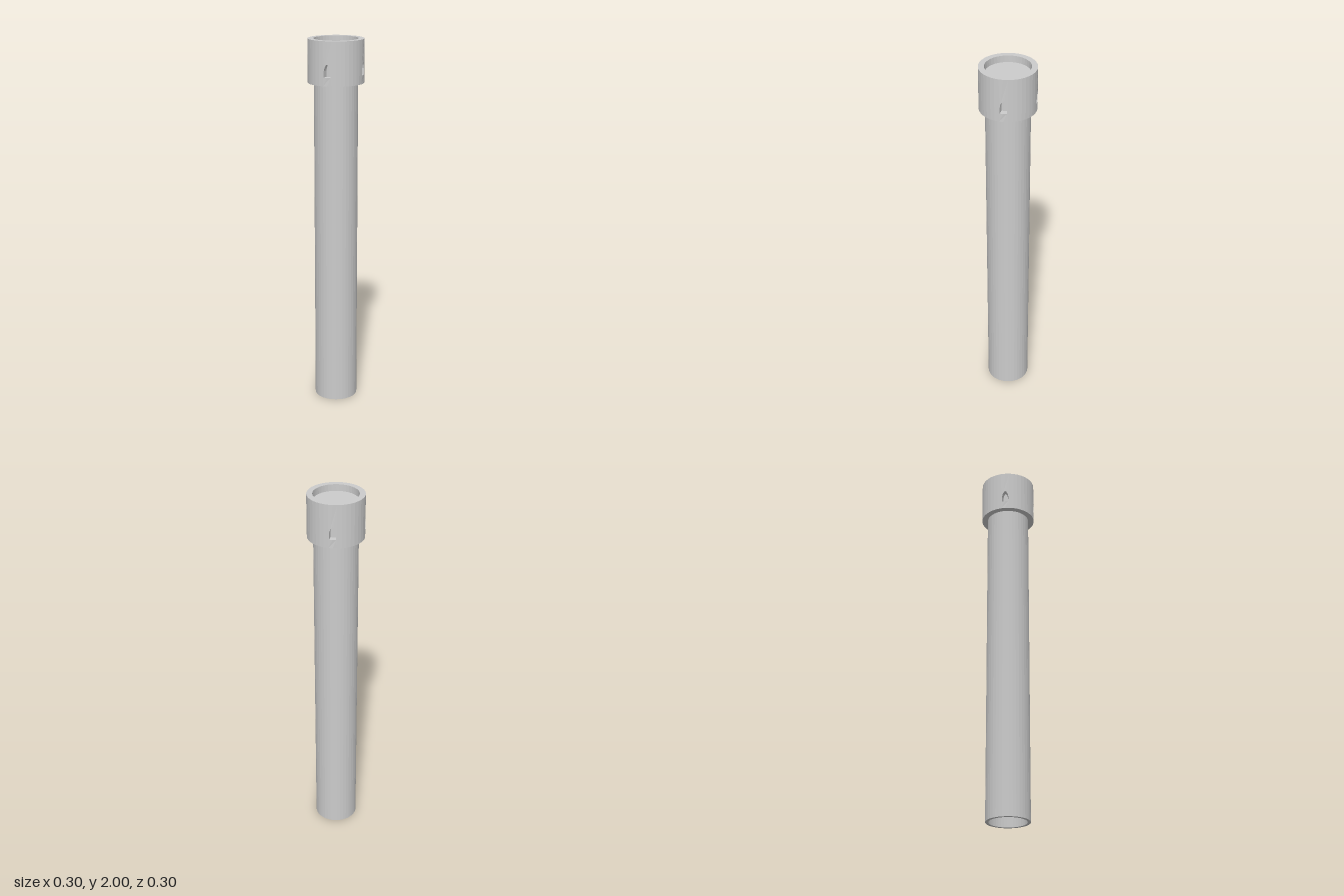
import * as THREE from 'three';

const SIDES = 40;
const STEP = (Math.PI * 2) / SIDES;
const material = new THREE.MeshStandardMaterial({ color: 0xcccccc, flatShading: true });

// Collar dimensions
const BOTTOM = 1.77, TOP = 2, OUTER = 0.148, INNER = 0.116, LIP = 0.118;

function lathe(name, profile, segments = SIDES, start = Math.PI / 4, length = Math.PI * 2) {
  const points = profile.map(([r, y]) => new THREE.Vector2(r, y));
  const mesh = new THREE.Mesh(new THREE.LatheGeometry(points, segments, start, length), material);
  mesh.name = name;
  return mesh;
}

// Collar panel two facets wide with an arched window, bent around the axis
function windowPanel(angle) {
  const half = STEP * OUTER;
  const shape = new THREE.Shape([
    [-half, BOTTOM], [0, BOTTOM], [half, BOTTOM], [half, TOP], [0, TOP], [-half, TOP],
  ].map(([x, y]) => new THREE.Vector2(x, y)));
  shape.holes.push(new THREE.Path([
    [-0.018, 1.815], [-0.018, 1.848], [-0.013, 1.867], [-0.006, 1.878], [0, 1.882],
    [0.006, 1.878], [0.013, 1.867], [0.018, 1.848], [0.018, 1.815], [0, 1.815],
  ].map(([x, y]) => new THREE.Vector2(x, y))));

  const geometry = new THREE.ExtrudeGeometry(shape, { depth: 1, bevelEnabled: false });
  const p = geometry.attributes.position;
  for (let i = 0; i < p.count; i++) {
    const y = p.getY(i);
    const inner = THREE.MathUtils.mapLinear(y, BOTTOM, TOP, INNER, LIP);
    const r = THREE.MathUtils.lerp(inner, OUTER, p.getZ(i));
    const a = angle + p.getX(i) / OUTER;
    p.setXYZ(i, r * Math.sin(a), y, r * Math.cos(a));
  }
  geometry.computeVertexNormals();
  const mesh = new THREE.Mesh(geometry, material);
  mesh.name = 'collarWindowPanel';
  return mesh;
}

export function createModel() {
  const model = new THREE.Group();
  model.name = 'collaredTube';

  // Long tube, open below and closed just under the collar rim
  model.add(lathe('tube', [
    [0.1, 0], [INNER, 0], [INNER, 1.965], [0, 1.965], [0, 1.94], [0.1, 1.94], [0.1, 0],
  ]));

  // Collar: four windowed panels on the diagonals with plain wall between them
  const collar = new THREE.Group();
  collar.name = 'collar';
  for (let i = 0; i < 4; i++) {
    const angle = Math.PI / 4 + (i * Math.PI) / 2;
    collar.add(windowPanel(angle));
    collar.add(lathe('collarWall', [
      [INNER, BOTTOM], [OUTER, BOTTOM], [OUTER, TOP], [LIP, TOP], [INNER, BOTTOM],
    ], SIDES / 4 - 2, angle + STEP, Math.PI / 2 - 2 * STEP));
  }
  model.add(collar);

  return model;
}
